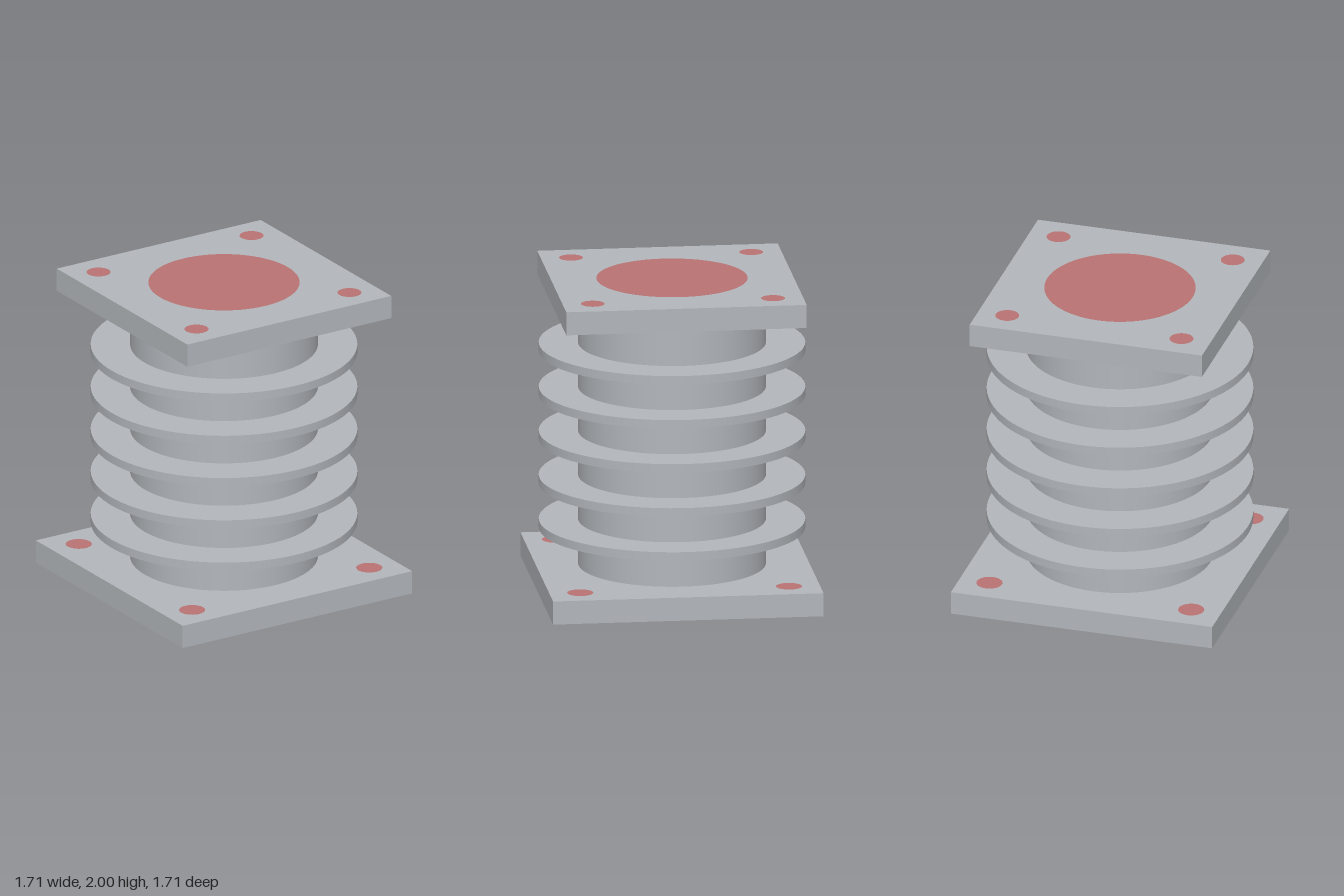
import * as THREE from 'three';

const SEGMENTS = 96;

export function createModel() {
  const steel = new THREE.MeshStandardMaterial({ color: 0xb2b6bb });
  steel.name = 'steel grey';
  const red = new THREE.MeshStandardMaterial({ color: 0xba7272 });
  red.name = 'muted red';

  const model = new THREE.Group();
  model.name = 'finnedCylinder';

  const addPart = (parent, name, geometry, material, x, y, z) => {
    const mesh = new THREE.Mesh(geometry, material);
    mesh.name = name;
    mesh.position.set(x, y, z);
    parent.add(mesh);
  };

  // Square flange with a central bore and four bolt holes, all closed flush in red
  const addFlange = (name, y, half, thickness, boltOffset, boltRadius) => {
    const flange = new THREE.Group();
    flange.name = name;
    flange.position.y = y;

    const openings = [{ part: 'bore', x: 0, z: 0, r: 0.475 }];
    for (const sx of [-1, 1]) {
      for (const sz of [-1, 1]) {
        openings.push({ part: 'boltHole', x: sx * boltOffset, z: sz * boltOffset, r: boltRadius });
      }
    }

    const outline = new THREE.Shape([
      new THREE.Vector2(-half, -half), new THREE.Vector2(half, -half),
      new THREE.Vector2(half, half), new THREE.Vector2(-half, half),
    ]);
    for (const { x, z, r } of openings) {
      outline.holes.push(new THREE.Path().absarc(x, -z, r, 0, Math.PI * 2, true));
    }
    const plate = new THREE.ExtrudeGeometry(outline, {
      depth: thickness, bevelEnabled: false, curveSegments: SEGMENTS,
    }).rotateX(-Math.PI / 2);
    addPart(flange, name + 'Plate', plate, steel, 0, 0, 0);

    for (const { part, x, z, r } of openings) {
      const plug = new THREE.CylinderGeometry(r, r, thickness, SEGMENTS);
      addPart(flange, part, plug, red, x, thickness / 2, z);
    }
    model.add(flange);
  };

  addFlange('baseFlange', 0, 0.855, 0.15, 0.66, 0.082);
  addFlange('topFlange', 1.85, 0.76, 0.15, 0.57, 0.075);

  // Barrel between the flanges
  const barrel = new THREE.CylinderGeometry(0.59, 0.59, 1.7, SEGMENTS, 1, true);
  addPart(model, 'barrel', barrel, steel, 0, 1, 0);

  // Flange faces are already closed, so only the fins need end caps
  const fin = new THREE.CylinderGeometry(0.837, 0.837, 0.055, SEGMENTS);
  for (let i = 0; i < 5; i++) {
    addPart(model, 'coolingFin', fin, steel, 0, 0.412 + i * 0.286, 0);
  }

  return model;
}
